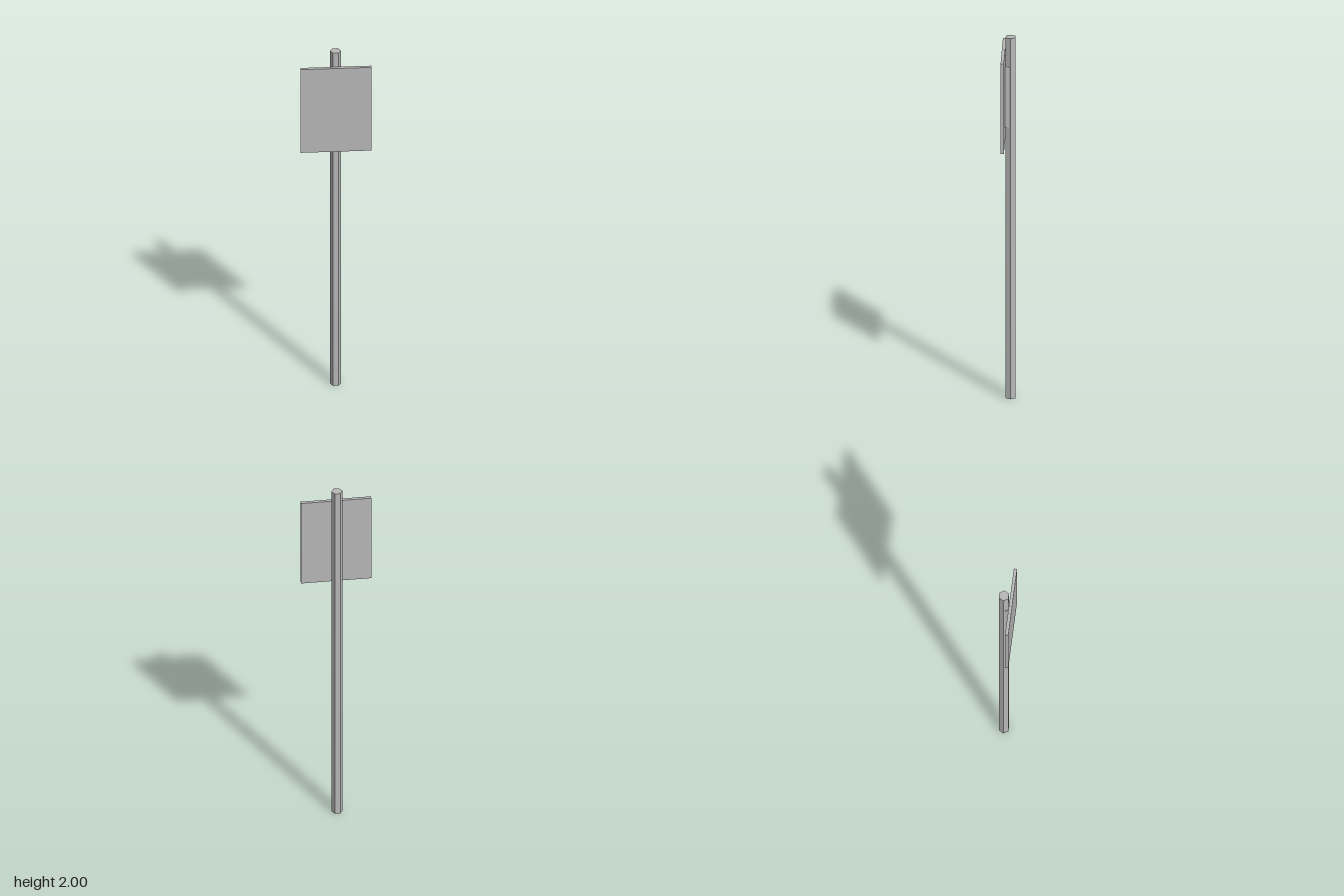
import * as THREE from 'three';

export function createModel() {
  const model = new THREE.Group();
  model.name = 'signpost';
  const greyMetal = new THREE.MeshStandardMaterial({ color: 0xb8b8b8, flatShading: true });
  greyMetal.name = 'grey metal';

  const add = (name, geometry, x, y, z) => {
    const mesh = new THREE.Mesh(geometry, greyMetal);
    mesh.name = name;
    mesh.position.set(x, y, z);
    model.add(mesh);
    return mesh;
  };

  // Hexagonal pole with corners pointing left and right
  const pole = new THREE.CylinderGeometry(0.0285, 0.0285, 2, 6);
  pole.rotateY(Math.PI / 2);
  add('pole', pole, 0, 1, -0.0105);

  // Blank sign panel in front of the pole
  add('signPanel', new THREE.BoxGeometry(0.366, 0.5, 0.017), 0, 1.67, 0.0265);

  // Mounting block joining panel and pole
  add('mountingBracket', new THREE.BoxGeometry(0.048, 0.335, 0.028), 0, 1.6725, 0.004);

  return model;
}
